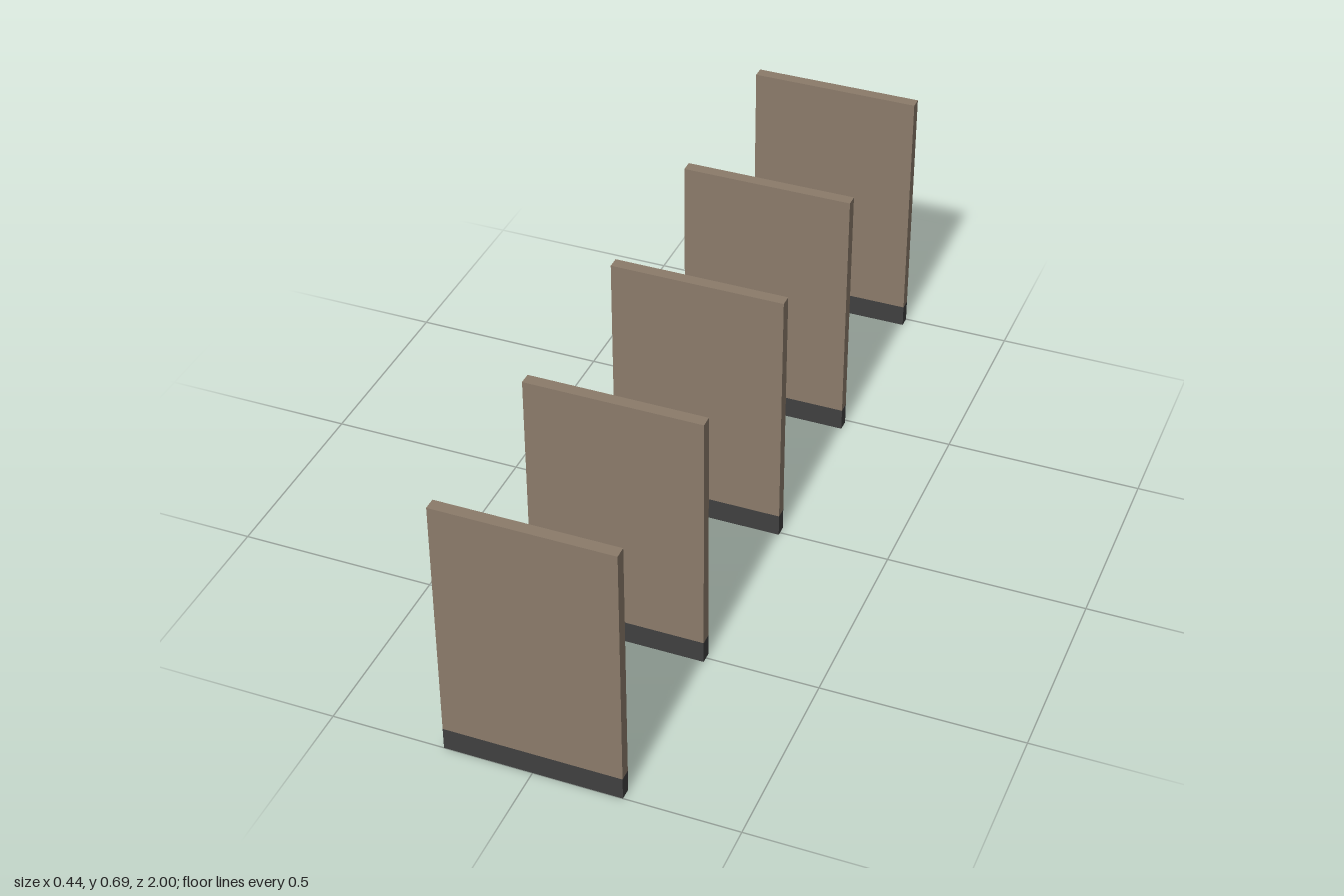
import * as THREE from 'three';

const grey = new THREE.MeshStandardMaterial({ color: 0xcccccc, flatShading: true });
const brown = new THREE.MeshStandardMaterial({ color: 0x8b7b6a });
const dark = new THREE.MeshStandardMaterial({ color: 0x404040 });

// Closed loft through rectangular sections [y, xMin, xMax, halfDepth]
function loft(sections) {
  const rings = sections.map(([y, a, b, h]) => [[a, y, h], [b, y, h], [b, y, -h], [a, y, -h]]);
  const pos = [];
  const quad = (a, b, c, d) => pos.push(...a, ...b, ...c, ...a, ...c, ...d);
  for (let k = 0; k < rings.length - 1; k++) {
    for (let i = 0; i < 4; i++) {
      const j = (i + 1) % 4;
      quad(rings[k][i], rings[k][j], rings[k + 1][j], rings[k + 1][i]);
    }
  }
  const [a, b, c, d] = rings[0];
  quad(d, c, b, a);
  quad(...rings[rings.length - 1]);
  const g = new THREE.BufferGeometry();
  g.setAttribute('position', new THREE.Float32BufferAttribute(pos, 3));
  g.computeVertexNormals();
  return g;
}

function part(parent, name, geometry, material) {
  const mesh = new THREE.Mesh(geometry, material);
  mesh.name = name;
  parent.add(mesh);
  return mesh;
}

// Partition: brown panel on a dark kick board
function createPartition(z) {
  const g = new THREE.Group();
  g.name = 'partition';
  part(g, 'panel', new THREE.BoxGeometry(0.438, 0.634, 0.03), brown).position.y = 0.375;
  part(g, 'kickBoard', new THREE.BoxGeometry(0.438, 0.058, 0.03), dark).position.y = 0.029;
  g.position.z = z;
  return g;
}

// Toilet facing +x
function createToilet(z) {
  const g = new THREE.Group();
  g.name = 'toilet';
  // Tank, widest at seat height
  part(g, 'tank', loft([
    [0.008, -0.137, -0.078, 0.061],
    [0.12, -0.137, -0.078, 0.067],
    [0.237, -0.137, -0.078, 0.046],
  ]), grey);
  part(g, 'flushButton', new THREE.BoxGeometry(0.014, 0.008, 0.014), grey).position.set(-0.108, 0.24, 0);
  // Raised lid against the tank
  part(g, 'lid', loft([
    [0.112, -0.08, -0.066, 0.056],
    [0.222, -0.08, -0.07, 0.036],
  ]), grey);
  // Hollow bowl: outside up, over the lip, down to the inner floor
  part(g, 'bowl', loft([
    [0.008, -0.078, 0.036, 0.048],
    [0.112, -0.072, 0.053, 0.062],
    [0.112, -0.06, 0.042, 0.052],
    [0.05, -0.048, 0.03, 0.04],
  ]), grey);
  // Seat ring
  part(g, 'seat', loft([
    [0.112, -0.06, 0.042, 0.052],
    [0.112, -0.073, 0.059, 0.066],
    [0.122, -0.073, 0.059, 0.066],
    [0.122, -0.06, 0.042, 0.052],
    [0.112, -0.06, 0.042, 0.052],
  ].slice(0, 5)), grey);
  // Keep only the ring faces of the seat (drop the two end caps)
  const seat = g.getObjectByName('seat').geometry;
  seat.setDrawRange(0, seat.attributes.position.count - 12);
  g.position.z = z;
  return g;
}

export function createModel() {
  const model = new THREE.Group();
  model.name = 'toiletStalls';
  for (const z of [0.985, 0.5, -0.006, -0.476, -0.985]) model.add(createPartition(z));
  for (const z of [0.731, 0.247, -0.225, -0.733]) model.add(createToilet(z));
  return model;
}
